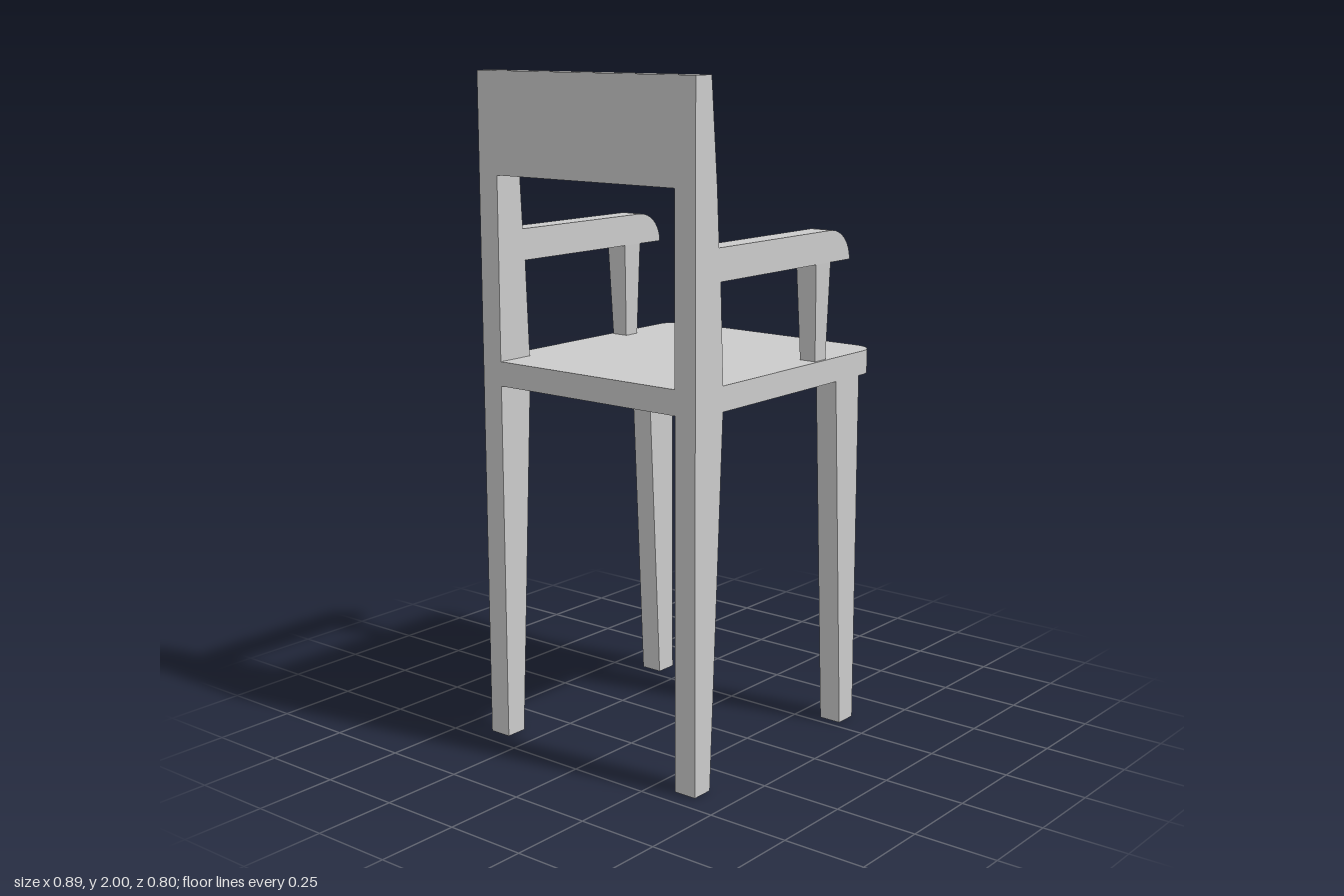
import * as THREE from 'three';

const material = new THREE.MeshStandardMaterial({ color: 0xcccccc, flatShading: true, side: THREE.DoubleSide });

const HALF = 0.398;   // half the chair's width
const INNER = 0.327;  // inner face of legs, posts and arms
const BACK = -0.443, FRONT = 0.443;
const SEAT_BOTTOM = 1.09, SEAT_TOP = 1.163;

// Side profile (x, y) extruded from z0 to z1
function slab(name, profile, z0, z1) {
  const shape = profile instanceof THREE.Shape
    ? profile
    : new THREE.Shape(profile.map(([x, y]) => new THREE.Vector2(x, y)));
  const geometry = new THREE.ExtrudeGeometry(shape, { depth: z1 - z0, bevelEnabled: false, curveSegments: 6 });
  geometry.translate(0, 0, z0);
  const mesh = new THREE.Mesh(geometry, material);
  mesh.name = name;
  return mesh;
}

// Seat board with rounded front corners, flush with the back of the legs
function createSeat() {
  const r = 0.07;
  const s = new THREE.Shape();
  s.moveTo(BACK, -HALF);
  s.lineTo(FRONT - r, -HALF);
  s.absarc(FRONT - r, -HALF + r, r, -Math.PI / 2, 0, false);
  s.lineTo(FRONT, HALF - r);
  s.absarc(FRONT - r, HALF - r, r, 0, Math.PI / 2, false);
  s.lineTo(BACK, HALF);
  s.closePath();
  const seat = slab('seat', s, 0, SEAT_TOP - SEAT_BOTTOM);
  seat.geometry.rotateX(-Math.PI / 2).translate(0, SEAT_BOTTOM, 0);
  return seat;
}

// Armrest with a rounded nose
function armProfile() {
  const s = new THREE.Shape();
  s.moveTo(-0.333, 1.45);
  s.lineTo(0.287, 1.45);
  s.absellipse(0.187, 1.45, 0.1, 0.093, 0, Math.PI / 2, false);
  s.lineTo(-0.341, 1.543);
  s.closePath();
  return s;
}

// Arm support, narrowing downwards in both directions
function createArmSupport(side) {
  const support = slab('armSupport', [[0.13, SEAT_TOP], [0.183, SEAT_TOP], [0.19, 1.45], [0.117, 1.45]], INNER, HALF);
  const p = support.geometry.attributes.position;
  const mid = (INNER + HALF) / 2;
  for (let i = 0; i < p.count; i++) {
    const k = p.getY(i) < 1.3 ? 0.75 : 0.98;
    p.setZ(i, side * mid + (p.getZ(i) - mid) * k);
  }
  support.geometry.computeVertexNormals();
  return support;
}

export function createModel() {
  const chair = new THREE.Group();
  chair.name = 'armchair';
  chair.add(createSeat());

  // Legs, posts and arms on both sides
  for (const side of [1, -1]) {
    const z0 = side > 0 ? INNER : -HALF;
    const z1 = side > 0 ? HALF : -INNER;
    chair.add(
      slab('backLeg', [[BACK, 0], [-0.375, 0], [-0.321, SEAT_BOTTOM], [BACK, SEAT_BOTTOM]], z0, z1),
      slab('backPost', [[BACK, SEAT_TOP], [-0.321, SEAT_TOP], [-0.333, 1.45], [-0.341, 1.543],
        [-0.35, 1.705], [-0.375, 2], [BACK, 2]], z0, z1),
      slab('frontLeg', [[0.28, 0], [0.35, 0], [0.35, SEAT_BOTTOM], [0.228, SEAT_BOTTOM]], z0, z1),
      slab('armrest', armProfile(), z0, z1),
      createArmSupport(side)
    );
  }

  // Back panel between the posts
  chair.add(slab('backPanel', [[BACK, 1.705], [-0.35, 1.705], [-0.375, 2], [BACK, 2]], -INNER, INNER));
  return chair;
}
